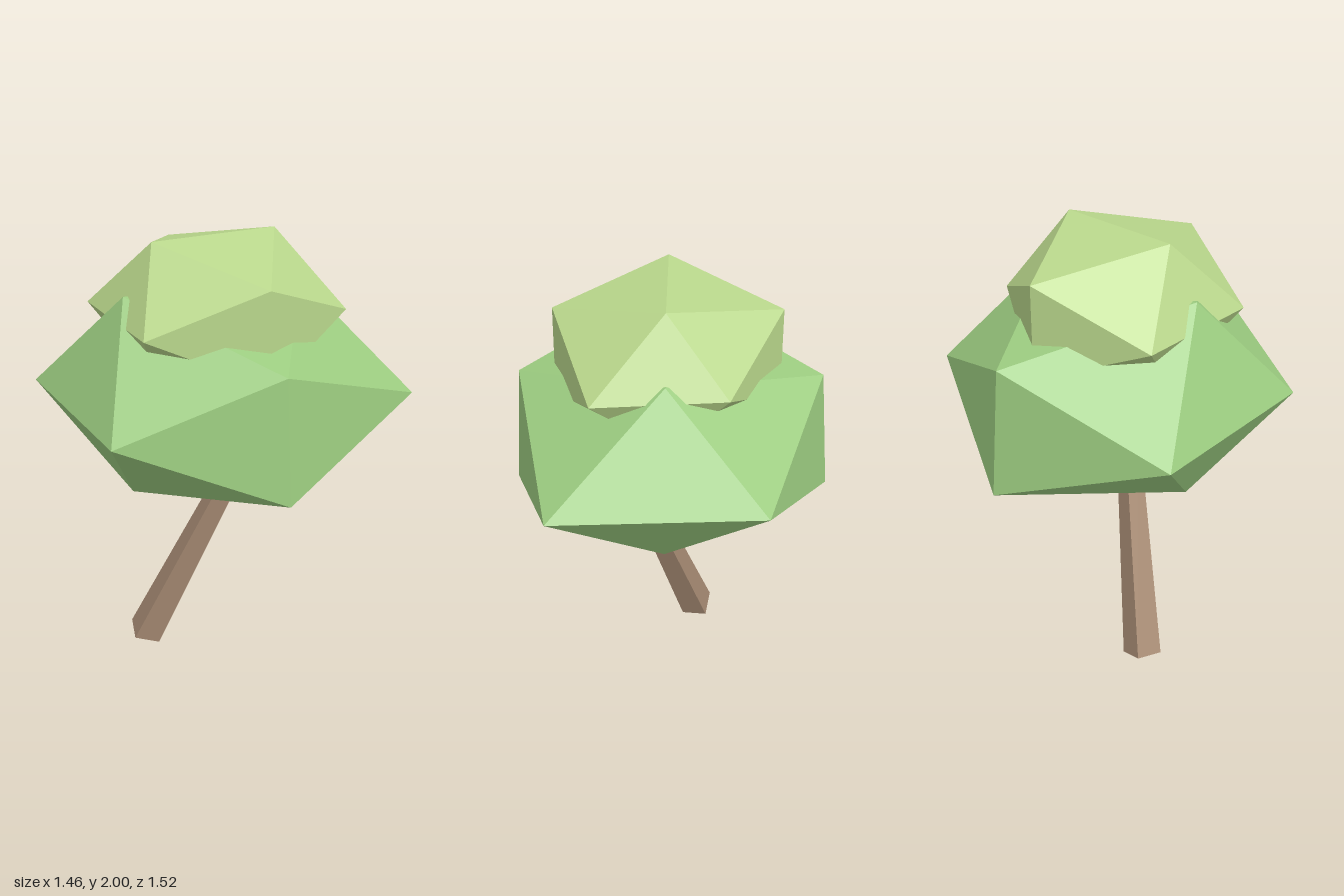
import * as THREE from 'three';
import { ConvexGeometry } from 'three/addons/geometries/ConvexGeometry.js';

const makeMesh = (name, geometry, color) => {
  const mesh = new THREE.Mesh(geometry, new THREE.MeshStandardMaterial({ color, flatShading: true }));
  mesh.name = name;
  return mesh;
};

// A faceted leaf clump: the hull of twelve corners (a squashed icosahedron)
const makeClump = (name, corners, color) =>
  makeMesh(name, new ConvexGeometry(corners.map((c) => new THREE.Vector3(...c))), color);

export function createModel() {
  const tree = new THREE.Group();
  tree.name = 'tree';

  // Leaning four-sided trunk, tapering up into the leaves
  const base = new THREE.Vector3(-0.317, 0.037, 0.2);
  const tip = new THREE.Vector3(0.135, 1.1, 0.02);
  const axis = tip.clone().sub(base);
  const trunk = makeMesh('trunk', new THREE.CylinderGeometry(0.05, 0.0885, axis.length(), 4), 0xa88c74);
  trunk.position.copy(base).add(tip).multiplyScalar(0.5);
  trunk.quaternion.setFromUnitVectors(new THREE.Vector3(0, 1, 0), axis.normalize());
  tree.add(trunk);

  // Wide lower leaves: upper, middle and bottom corners
  tree.add(makeClump('lowerLeaves', [
    [-0.23, 1.8, 0.37], [0.5, 1.6, 0.34], [-0.57, 1.6, -0.33], [0.19, 1.76, -0.335],
    [-0.73, 1.34, 0.37], [-0.02, 1.34, 0.76], [0.73, 1.34, -0.36], [-0.02, 1.34, -0.76],
    [0.54, 1.07, 0.36], [-0.23, 0.92, 0.36], [-0.62, 1.06, -0.36], [0.18, 0.94, -0.31],
  ], 0x9ccc80));

  // Smaller upper leaves, sunk into the lower ones
  tree.add(makeClump('upperLeaves', [
    [-0.17, 2, 0.25], [0.12, 2, -0.22], [0.37, 1.89, 0.25], [-0.42, 1.89, -0.23],
    [-0.51, 1.7, 0.25], [-0.02, 1.7, 0.53], [0.46, 1.7, -0.23], [-0.02, 1.7, -0.46],
    [0.38, 1.5, 0.25], [-0.16, 1.4, 0.25], [-0.43, 1.5, -0.23], [0.12, 1.4, -0.22],
  ], 0xbad88c));

  return tree;
}
